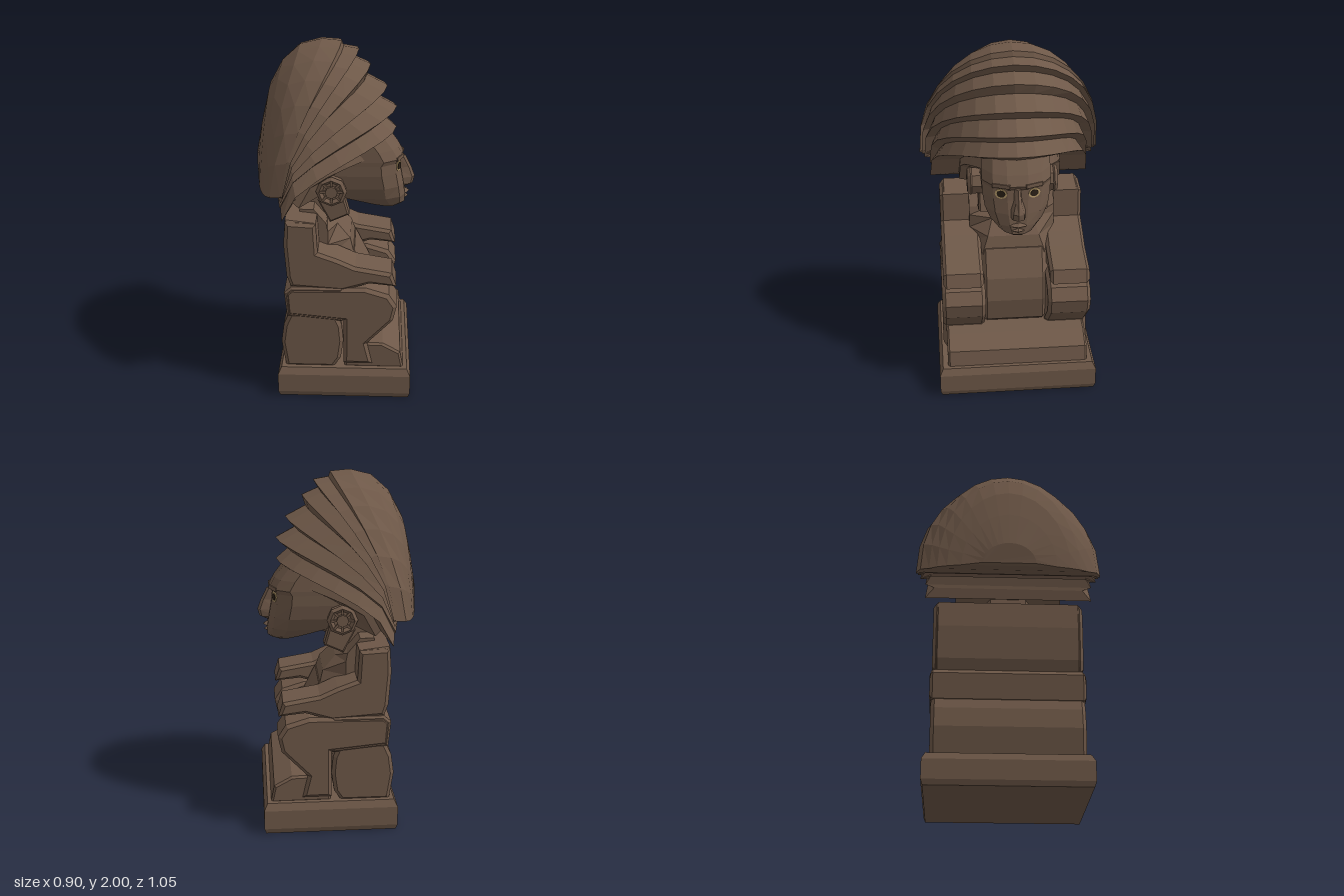
import * as THREE from 'three';

const mat = (color) => new THREE.MeshStandardMaterial({ color, flatShading: true, side: THREE.DoubleSide });

// Surface through closed rings of [x, y, z] points, with a fan cap at each end
function loft(rings) {
  const n = rings[0].length, pos = [], idx = [];
  rings.forEach((r) => r.forEach((p) => pos.push(...p)));
  for (let i = 0; i < rings.length - 1; i++) {
    for (let j = 0; j < n; j++) {
      const a = i * n + j, b = i * n + (j + 1) % n;
      idx.push(a, b, a + n, b, b + n, a + n);
    }
  }
  const last = (rings.length - 1) * n;
  for (let j = 1; j < n - 1; j++) idx.push(0, j + 1, j, last, last + j, last + j + 1);
  const g = new THREE.BufferGeometry();
  g.setAttribute('position', new THREE.Float32BufferAttribute(pos, 3));
  g.setIndex(idx);
  g.computeVertexNormals();
  return g;
}

// Side profile in x, y carried from z0 to z1 with chamfered edges
function slab(pts, z0, z1, b = 0.012) {
  const shape = new THREE.Shape(pts.map(([x, y]) => new THREE.Vector2(x, y)));
  const g = new THREE.ExtrudeGeometry(shape, {
    depth: z1 - z0 - 2 * b, bevelThickness: b, bevelSize: b, bevelOffset: -b, bevelSegments: 1,
  });
  return g.translate(0, 0, z0 + b);
}

export function createModel() {
  const group = new THREE.Group();
  const wood = mat(0x6e5848), eyeWhite = mat(0xb59a6a), dark = mat(0x2a2016);
  const add = (name, geo, m = wood) => {
    const mesh = new THREE.Mesh(geo, m);
    mesh.name = name;
    group.add(mesh);
  };
  // Same part on both sides of the body
  const pair = (name, make, m) => [['left', 1], ['right', -1]].forEach(([side, s]) => add(side + name, make(s), m));
  const sidePair = (name, pts, z0, z1, b) =>
    pair(name, (s) => (s > 0 ? slab(pts, z0, z1, b) : slab(pts, -z1, -z0, b)));

  // Plinth with chamfered top and bottom
  const rect = (y, d) => [[-0.32 + d, y, -0.46 + d], [0.44 - d, y, -0.46 + d],
    [0.44 - d, y, 0.46 - d], [-0.32 + d, y, 0.46 - d]];
  add('plinth', loft([rect(0, 0.01), rect(0.03, 0), rect(0.14, 0), rect(0.18, 0.02)]));

  // Seat, hips, back and belly
  add('buttocks', slab([[-0.275, 0.17], [0, 0.17], [0.04, 0.23], [0.055, 0.34], [0.045, 0.44], [0.01, 0.52], [-0.25, 0.52],
    [-0.285, 0.44], [-0.3, 0.33]], -0.42, 0.42, 0.02));
  add('hips', slab([[-0.265, 0.5], [0.05, 0.47], [0.05, 0.68], [-0.24, 0.68], [-0.28, 0.645]], -0.425, 0.425));
  add('back', slab([[-0.24, 0.67], [0, 0.67], [-0.1, 0.88], [-0.1, 1.06], [-0.27, 1.08], [-0.28, 0.93], [-0.265, 0.74]],
    -0.405, 0.405));
  // Chest: y, front, half width of the front face
  add('chest', loft([[0.6, 0.13, 0.18], [0.78, 0.11, 0.18], [0.87, 0.085, 0.15], [0.95, 0.01, 0.12], [1.0, -0.05, 0.12],
    [1.085, -0.12, 0.12]].map(([y, f, w]) => [[f, y, -w], [f, y, w], [Math.min(f, -0.04), y, 0.25], [-0.2, y, 0.25],
    [-0.2, y, -0.25], [Math.min(f, -0.04), y, -0.25]])));
  add('belly', slab([[-0.1, 0.2], [0.12, 0.3], [0.19, 0.36], [0.21, 0.5], [0.19, 0.64], [0.11, 0.8], [-0.1, 0.82]],
    -0.2, 0.2, 0.035));

  // Folded legs, forearms resting on the knees, and feet
  sidePair('Arm', [[-0.24, 0.68], [0.05, 0.66], [0.2, 0.705], [0.35, 0.69], [0.325, 0.77], [0.12, 0.805], [0.02, 0.85],
    [-0.09, 0.89], [-0.1, 1.06], [-0.27, 1.07], [-0.275, 0.93], [-0.26, 0.74]], 0.19, 0.42, 0.018);
  sidePair('Leg', [[-0.265, 0.505], [0.055, 0.475], [0.055, 0.2], [0.22, 0.2], [0.19, 0.33], [0.335, 0.48], [0.355, 0.57],
    [0.31, 0.64], [0.18, 0.68], [-0.24, 0.675], [-0.275, 0.645]], 0.18, 0.43, 0.02);
  add('feet', slab([[0.06, 0.17], [0.4, 0.17], [0.38, 0.27], [0.28, 0.325], [0.06, 0.33]], -0.41, 0.41));

  // Neck and head, stacked from horizontal sections: y, front, back, half width
  add('neck', slab([[-0.24, 1.0], [-0.06, 0.99], [0, 1.06], [0.1, 1.25], [-0.2, 1.25]], -0.13, 0.13, 0.03));
  const section = ([y, f, k, w]) => {
    const half = [[f, 0.3], [f - 0.03, 0.7], [Math.max(f - 0.11, (f + k) / 2), 1], [k, 1]];
    return [...half.map(([x, t]) => [x, y, t * w]), ...half.reverse().map(([x, t]) => [x, y, -t * w])];
  };
  add('head', loft([[1.04, 0.37, 0.28, 0.07], [1.06, 0.395, 0.22, 0.1], [1.11, 0.395, 0.07, 0.145], [1.18, 0.385, -0.08, 0.175],
    [1.26, 0.37, -0.15, 0.188], [1.32, 0.365, -0.15, 0.19], [1.345, 0.38, -0.15, 0.192], [1.4, 0.35, -0.15, 0.19],
    [1.52, 0.26, -0.15, 0.185]].map(section)));

  // Nose and lips
  const noseRing = ([y, x, w]) => [[0.34, y, -w], [0.34, y, w], [x - 0.015, y, w * 0.6], [x, y, 0], [x - 0.015, y, -w * 0.6]];
  add('nose', loft([[1.145, 0.4, 0.03], [1.165, 0.44, 0.052], [1.205, 0.45, 0.048], [1.26, 0.43, 0.026],
    [1.33, 0.395, 0.022]].map(noseRing)));
  [[1.115, 0.42, 0.07, 'upperLip'], [1.085, 0.415, 0.055, 'lowerLip']].forEach(([y, x, w, name]) =>
    add(name, loft([[y - 0.014, x - 0.02, w * 0.7], [y, x, w], [y + 0.014, x - 0.02, w * 0.6]].map(noseRing))));

  // Eyes and brows, turned to follow the face
  const disc = (r, x, s) => new THREE.CylinderGeometry(r, r, 0.04, 12).rotateZ(-Math.PI / 2).rotateY(-s * 0.35)
    .scale(1, 0.85, 1).translate(x, 1.295, s * 0.085);
  pair('Eye', (s) => disc(0.035, 0.338, s), eyeWhite);
  pair('Pupil', (s) => disc(0.024, 0.341, s), dark);
  pair('Brow', (s) => new THREE.BoxGeometry(0.04, 0.022, 0.1).rotateY(-s * 0.38).translate(0.348, 1.345, s * 0.085));

  // Round ear ornaments with a rim, spokes and a knob
  const cx = -0.02, cy = 1.19;
  pair('EarDisc', (s) => new THREE.CylinderGeometry(0.08, 0.08, 0.07, 8).rotateX(Math.PI / 2).translate(cx, cy, s * 0.205));
  pair('EarRim', (s) => new THREE.TorusGeometry(0.07, 0.018, 4, 8).translate(cx, cy, s * 0.242));
  pair('EarKnob', (s) => new THREE.CylinderGeometry(0.035, 0.035, 0.03, 8).rotateX(Math.PI / 2).translate(cx, cy, s * 0.248));
  for (let i = 0; i < 8; i++) {
    const a = i * Math.PI / 4;
    pair('EarSpoke', (s) => new THREE.BoxGeometry(0.04, 0.012, 0.02).translate(0.05, 0, 0).rotateZ(a)
      .translate(cx, cy, s * 0.245));
  }
  sidePair('Lappet', [[-0.03, 0.985], [0.08, 1.035], [0.05, 1.14], [-0.1, 1.12]], 0.1, 0.2, 0.01);

  // Hair: arches from ear to ear. Crown x, y, then lower end x, y, z, then squareness (lower is squarer).
  // Forward lips alternate with grooves, and the last arches close the back.
  const arches = [
    [0.25, 1.37, -0.1, 1.14, 0.2, 0.6], [0.325, 1.4, -0.2, 1.11, 0.3, 0.6], [0.28, 1.45, -0.23, 1.14, 0.3, 0.65],
    [0.34, 1.5, -0.28, 1.1, 0.47, 0.72], [0.27, 1.56, -0.29, 1.16, 0.42, 0.7],
    [0.34, 1.62, -0.29, 1.18, 0.47, 0.74], [0.23, 1.68, -0.3, 1.23, 0.44, 0.74],
    [0.285, 1.74, -0.28, 1.22, 0.5, 0.78], [0.17, 1.8, -0.3, 1.25, 0.475, 0.78],
    [0.19, 1.86, -0.27, 1.25, 0.515, 0.82], [0.1, 1.9, -0.3, 1.27, 0.495, 0.82],
    [0.125, 1.945, -0.27, 1.26, 0.527, 0.85], [0.04, 1.96, -0.29, 1.27, 0.515, 0.85],
    [0.03, 1.99, -0.28, 1.26, 0.527, 0.9], [-0.08, 2.0, -0.34, 1.25, 0.5, 0.95],
    [-0.2, 1.97, -0.37, 1.24, 0.45, 1], [-0.3, 1.88, -0.39, 1.24, 0.405, 1.05],
    [-0.37, 1.75, -0.405, 1.24, 0.35, 1.05], [-0.41, 1.58, -0.42, 1.24, 0.27, 1], [-0.45, 1.37, -0.435, 1.25, 0.15, 1],
  ];
  const steps = 14;
  add('hair', loft(arches.map(([xa, ya, xe, ye, ze, q]) => {
    const ring = [];
    for (let i = 0; i <= steps; i++) {
      const a = (i / steps - 0.5) * Math.PI, c = Math.max(0, Math.cos(a));
      ring.push([xe + (xa - xe) * c ** 1.4, ye + (ya - ye) * c ** q, ze * Math.sin(a)]);
    }
    return ring;
  })));

  return group;
}
